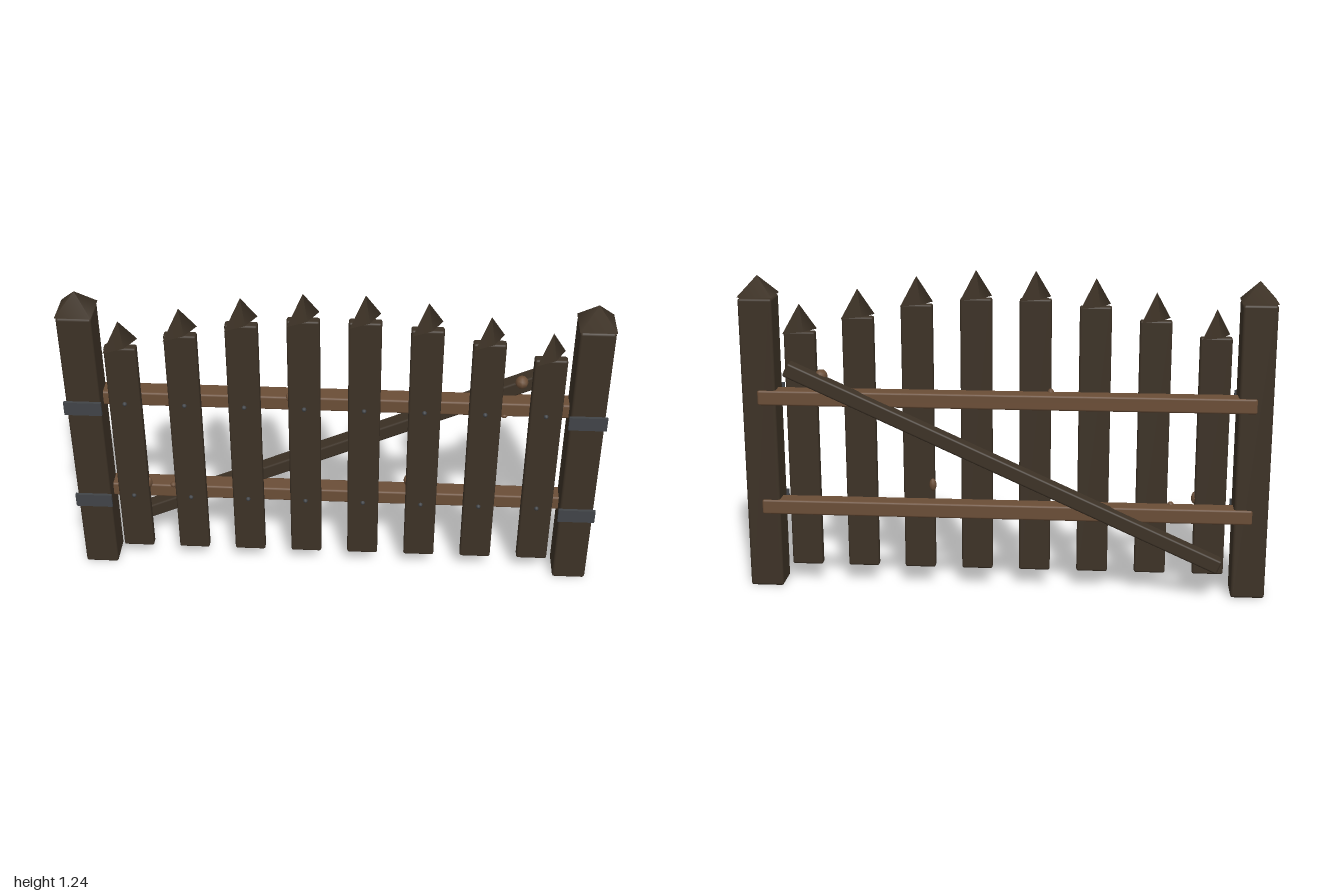
import * as THREE from 'three';
import { RoundedBoxGeometry } from 'three/addons/geometries/RoundedBoxGeometry.js';

function material(name, color) {
  const m = new THREE.MeshStandardMaterial({ color });
  m.name = name;
  return m;
}

export function createModel() {
  const group = new THREE.Group();
  const darkWood = material('dark weathered wood', 0x3d3226);
  const railWood = material('brown wood', 0x6b4e37);
  const iron = material('dark iron', 0x414448);

  const add = (name, geometry, mat, x, y, z) => {
    const mesh = new THREE.Mesh(geometry, mat);
    mesh.name = name;
    mesh.position.set(x, y, z);
    group.add(mesh);
    return mesh;
  };
  const plank = (w, h, d, r) => new RoundedBoxGeometry(w, h, d, 2, r);

  const railHeights = [0.325, 0.757];

  // Corner posts with pyramid caps and iron straps
  const postGeo = plank(0.128, 1.135, 0.125, 0.01);
  const capGeo = new THREE.ConeGeometry(0.093, 0.075, 4);
  capGeo.rotateY(Math.PI / 4);
  const strapGeo = new THREE.BoxGeometry(0.14, 0.055, 0.012);
  for (const side of [-1, 1]) {
    add('post', postGeo, darkWood, side * 0.93, 0.5675, 0.016);
    add('postCap', capGeo, darkWood, side * 0.93, 1.1765, 0.016);
    for (const y of railHeights) add('strap', strapGeo, iron, side * 0.93, y, 0.091);
  }

  // Horizontal rails
  const railGeo = plank(1.87, 0.058, 0.073, 0.008);
  for (const y of railHeights) add('rail', railGeo, railWood, 0, y, -0.0155);

  // Pickets rising towards the middle, with thin twisted points and nails
  const tipGeo = new THREE.ConeGeometry(0.077, 0.105, 4);
  const nailGeo = new THREE.SphereGeometry(0.009, 8, 6);
  const tops = [1.135, 1.11, 1.06, 1.0];
  tops.forEach((top, i) => {
    const height = top - 0.07;
    const picketGeo = plank(0.119, height, 0.038, 0.008);
    for (const side of [-1, 1]) {
      const x = side * (0.111 + i * 0.223);
      add('picket', picketGeo, darkWood, x, 0.07 + height / 2, 0.034);
      const tip = add('picketTip', tipGeo, darkWood, x, top + 0.0515, 0.034);
      tip.scale.z = 0.3;
      tip.rotation.y = Math.PI / 4;
      for (const y of railHeights) add('nail', nailGeo, iron, x, y, 0.054);
    }
  });

  // Diagonal brace across the back
  const brace = add('brace', plank(1.793, 0.055, 0.062, 0.008), darkWood, 0, 0.508, -0.066);
  brace.rotation.z = 0.427;

  // Small wood knots on the rails and the brace: x, y, z, radius, stretch
  const knotGeo = new THREE.SphereGeometry(1, 8, 6);
  const knots = [
    [0.69, 0.845, -0.038, 0.025, 1],
    [0.28, 0.41, 0.012, 0.014, 1.8],
    [-0.17, 0.78, 0.012, 0.013, 1.5],
    [0.63, 0.73, 0.012, 0.014, 0.8],
    [-0.63, 0.352, 0.012, 0.013, 0.9],
    [-0.72, 0.375, 0.03, 0.012, 2],
  ];
  for (const [x, y, z, r, stretch] of knots) {
    add('woodKnot', knotGeo, railWood, x, y, z).scale.set(r, r * stretch, r);
  }

  return group;
}
